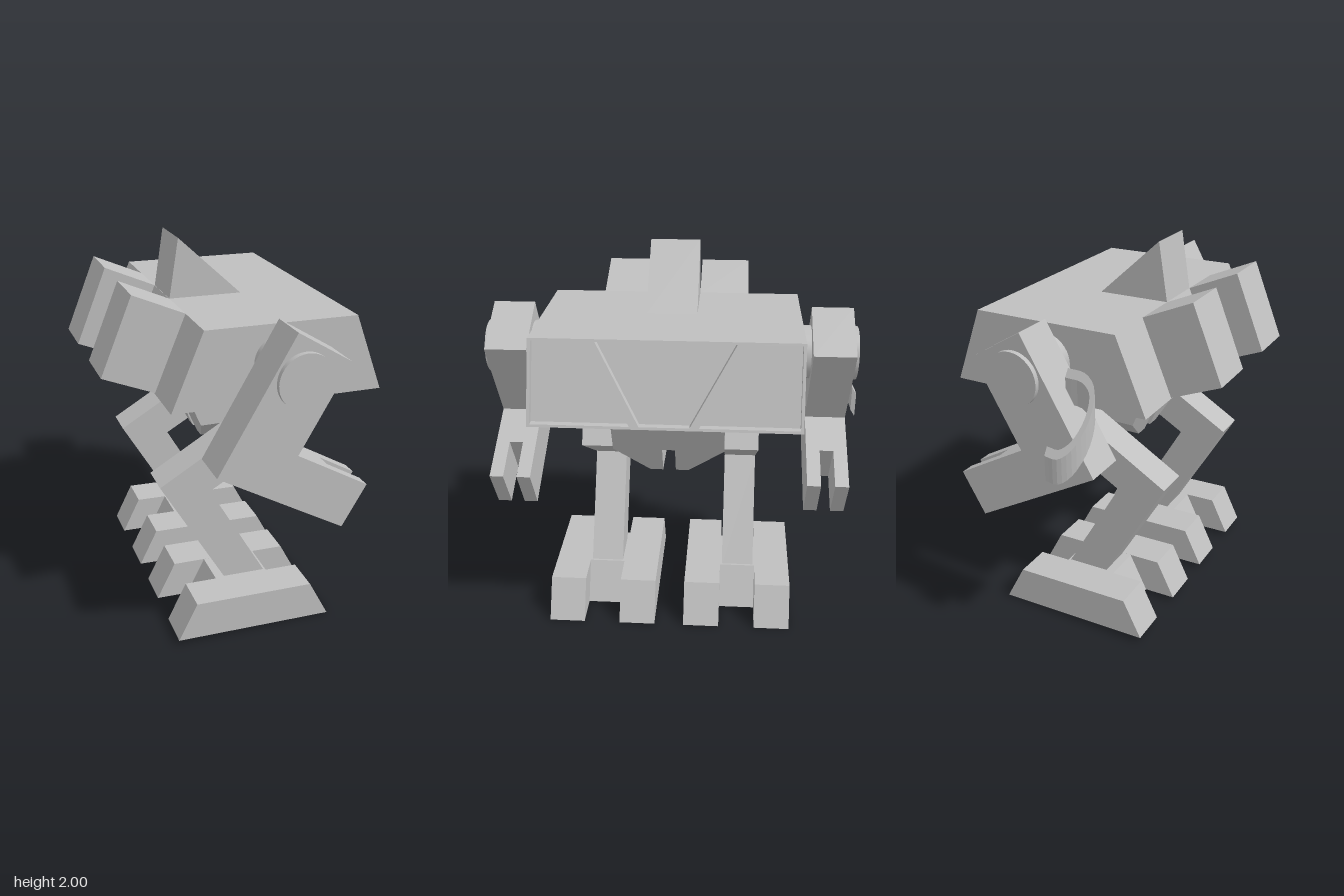
import * as THREE from 'three';

const gray = new THREE.MeshStandardMaterial({ color: 0xbfbfbf });
gray.name = 'plain gray';

const toShape = (pts) => new THREE.Shape(pts.map(([x, y]) => new THREE.Vector2(x, y)));

function part(parent, name, geometry) {
  const mesh = new THREE.Mesh(geometry, gray);
  mesh.name = name;
  parent.add(mesh);
  return mesh;
}

// side profile (x, y) extruded between two z values
function prism(pts, za, zb) {
  const z0 = Math.min(za, zb);
  const g = new THREE.ExtrudeGeometry(toShape(pts), { depth: Math.abs(zb - za), bevelEnabled: false });
  return g.translate(0, 0, z0);
}

// end-on shape (z, y) extruded along x between two sloping ends
function slopedBlock(shape, backX, frontX) {
  const g = new THREE.ExtrudeGeometry(shape, { depth: 1, bevelEnabled: false });
  g.rotateY(Math.PI / 2);
  const p = g.attributes.position;
  for (let i = 0; i < p.count; i++) {
    const y = p.getY(i);
    p.setX(i, THREE.MathUtils.lerp(backX(y), frontX(y), p.getX(i)));
  }
  g.computeVertexNormals();
  return g;
}

function buildBody(model) {
  const recess = 0.035;
  const W = 0.655;
  part(model, 'hull', prism([[-0.25, 1.7], [-0.41, 1.313], [0.67 - recess, 1.3], [0.52 - recess, 1.692]], -W, W));

  // window frame with three openings split by slanted struts
  const front = (y) => 0.67 - (y - 1.3) * 0.383;
  const frame = toShape([[-W, 1.3], [W, 1.3], [W, 1.692], [-W, 1.692]]);
  const lo = 1.312, hi = 1.68;
  frame.holes.push(toShape([[-0.12, lo], [0.12, lo], [0.335, hi], [-0.335, hi]]));
  for (const s of [1, -1]) {
    frame.holes.push(toShape([[s * 0.165, lo], [s * 0.64, lo], [s * 0.64, hi], [s * 0.38, hi]]));
  }
  part(model, 'windowFrame', slopedBlock(frame, (y) => front(y) - recess, front));

  part(model, 'topFin', prism([[-0.2, 2], [-0.25, 1.69], [0.135, 1.69]], -0.13, 0.13));
  for (const s of [1, -1]) {
    part(model, 'rearThruster',
      prism([[-0.24, 1.696], [-0.51, 1.815], [-0.67, 1.425], [-0.4, 1.313]], s * 0.13, s * 0.39));
  }
  part(model, 'neck', prism([[-0.2, 1.19], [0.225, 1.19], [0.225, 1.31], [-0.2, 1.31]], -0.095, 0.095));

  // hips: tapered block with a slot underneath
  const hips = toShape([
    [-0.285, 1.2], [-0.285, 1.055], [-0.1, 0.91], [-0.033, 0.91], [-0.033, 1.055],
    [0.033, 1.055], [0.033, 0.91], [0.1, 0.91], [0.285, 1.055], [0.285, 1.2]]);
  part(model, 'hips', slopedBlock(hips,
    (y) => -0.2 + (1.2 - y) * 0.43, (y) => 0.45 - (1.2 - y) * 0.43));
}

function buildLeg(s) {
  const leg = new THREE.Group();
  leg.name = s > 0 ? 'nearLeg' : 'farLeg';
  part(leg, 'bentLeg', prism([
    [0.21, 1.2], [-0.415, 0.83], [-0.065, 0.22], [0.165, 0.21], [-0.15, 0.765], [0.31, 1.03]], s * 0.285, s * 0.46));
  // foot: two long bars joined by a shorter web
  const bar = [[-0.39, 0.035], [0.455, 0.005], [0.345, 0.215], [-0.29, 0.237]];
  part(leg, 'innerFootBar', prism(bar, s * 0.08, s * 0.275));
  part(leg, 'outerFootBar', prism(bar, s * 0.47, s * 0.663));
  part(leg, 'footWeb', prism([[-0.22, 0.029], [0.28, 0.011], [0.17, 0.221], [-0.12, 0.231]], s * 0.275, s * 0.47));
  return leg;
}

function buildArm(s) {
  const arm = new THREE.Group();
  arm.name = s > 0 ? 'nearArm' : 'farArm';
  const z0 = 0.705, z1 = 0.915;
  part(arm, 'bentArm', prism([
    [0.09, 1.735], [-0.28, 1.09], [0.18, 0.822], [0.3, 1.033], [0.115, 1.14], [0.36, 1.57]], s * z0, s * z1));
  const finger = [[0.18, 0.822], [0.365, 0.715], [0.485, 0.925], [0.3, 1.033]];
  part(arm, 'innerFinger', prism(finger, s * z0, s * (z0 + 0.07)));
  part(arm, 'outerFinger', prism(finger, s * (z1 - 0.07), s * z1));
  const pivot = part(arm, 'shoulderPivot', new THREE.CylinderGeometry(0.135, 0.135, 0.295, 40));
  pivot.rotation.x = Math.PI / 2;
  pivot.position.set(0.13, 1.51, s * 0.7925);
  return arm;
}

// curved band that climbs around the back edge of one arm
function buildBand() {
  const curve = new THREE.CatmullRomCurve3([
    [-0.07, -0.785], [-0.17, -0.79], [-0.225, -0.82], [-0.235, -0.88],
    [-0.2, -0.945], [-0.14, -0.98], [-0.07, -0.98]].map(([x, z]) => new THREE.Vector3(x, z, 0)));
  const outer = [], inner = [];
  for (let i = 0; i <= 20; i++) {
    const p = curve.getPoint(i / 20), t = curve.getTangent(i / 20);
    outer.push([p.x - t.y * 0.012, p.y + t.x * 0.012]);
    inner.unshift([p.x + t.y * 0.012, p.y - t.x * 0.012]);
  }
  const g = new THREE.ExtrudeGeometry(toShape([...outer, ...inner]), { depth: 0.13, bevelEnabled: false });
  g.rotateX(Math.PI / 2);
  const p = g.attributes.position;
  for (let i = 0; i < p.count; i++) {
    p.setY(i, p.getY(i) + 1.2 + (p.getZ(i) + 0.99) * 1.6);
  }
  g.computeVertexNormals();
  return g;
}

export function createModel() {
  const model = new THREE.Group();
  model.name = 'walkingRobot';
  buildBody(model);
  for (const s of [1, -1]) model.add(buildLeg(s), buildArm(s));
  part(model, 'armBand', buildBand());
  model.position.z = 0.025;
  const root = new THREE.Group();
  root.name = 'robot';
  root.add(model);
  return root;
}
